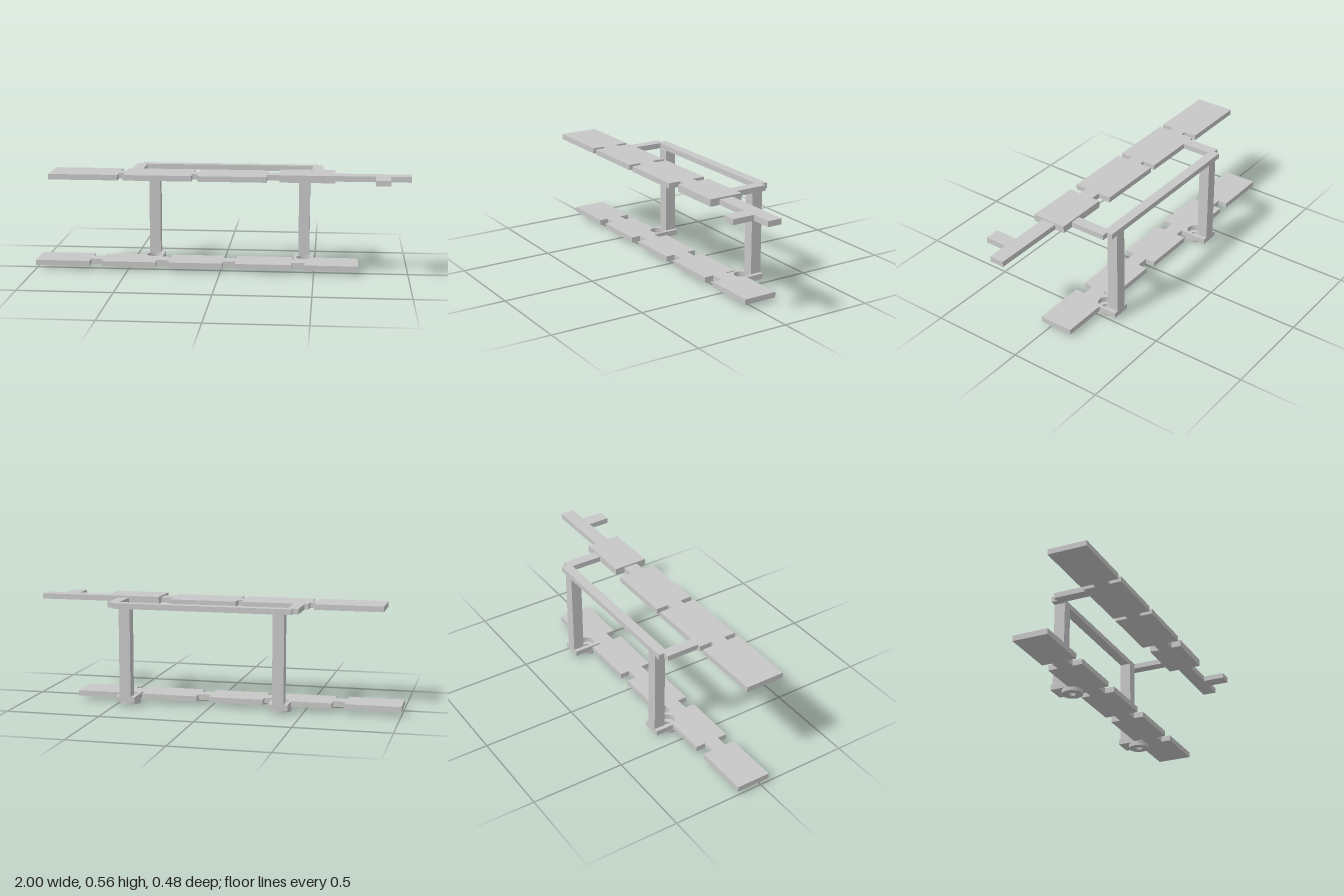
import * as THREE from 'three';

const grey = new THREE.MeshStandardMaterial({ color: 0xc7c7c7 });
grey.name = 'light grey metal';

// Flat plate from a clockwise outline of [x, z] corners, with round holes [x, z, radius]
function plate(name, outline, y0, y1, holes = []) {
  const shape = new THREE.Shape(outline.map(([x, z]) => new THREE.Vector2(x, -z)));
  for (const [x, z, r] of holes) {
    shape.holes.push(new THREE.Path().absarc(x, -z, r, 0, Math.PI * 2, false));
  }
  const geo = new THREE.ExtrudeGeometry(shape, { depth: y1 - y0, bevelEnabled: false, curveSegments: 20 });
  geo.rotateX(-Math.PI / 2).translate(0, y0, 0);
  const mesh = new THREE.Mesh(geo, grey);
  mesh.name = name;
  return mesh;
}

function box(name, x0, x1, y0, y1, z0, z1) {
  const geo = new THREE.BoxGeometry(x1 - x0, y1 - y0, z1 - z0);
  geo.translate((x0 + x1) / 2, (y0 + y1) / 2, (z0 + z1) / 2);
  const mesh = new THREE.Mesh(geo, grey);
  mesh.name = name;
  return mesh;
}

// Corners of steps [x0, x1, z] along an edge lying at z = edge
const edgeSteps = (edge, steps) =>
  steps.flatMap(([a, b, z]) => [[a, edge], [a, z], [b, z], [b, edge]]);

export function createModel() {
  const model = new THREE.Group();
  model.name = 'twoLevelBracket';
  const low = [0.021, 0.05], top = [0.518, 0.547];
  const postX = [-0.378, 0.442], washerZ = -0.14;

  // Lower strip: notched on both edges, with a foot pad reaching back under each post
  const back = -0.138, front = 0.047, cut = -0.086, pad = -0.238;
  const frontNotches = [[0.45, 0.38], [0.08, 0.012], [-0.278, -0.348], [-0.642, -0.706]]
    .map(([a, b]) => [a, b, -0.005]);
  model.add(plate('lowerStrip', [
    [-1, back],
    ...edgeSteps(back, [[-0.706, -0.642, cut]]),
    [-0.43, back], [-0.43, pad], [-0.326, pad], [-0.326, cut], [-0.278, cut], [-0.278, back],
    ...edgeSteps(back, [[0.012, 0.08, cut]]),
    [0.38, back], [0.38, cut], [0.39, cut], [0.39, pad], [0.494, pad], [0.494, back],
    [0.735, back], [0.735, front],
    ...edgeSteps(front, frontNotches),
    [-1, front],
  ], ...low, postX.map((x) => [x, washerZ, 0.04])));

  // Posts and the pierced washers below their pads
  for (const x of postX) {
    model.add(box('post', x - 0.03, x + 0.03, low[1], top[0], -0.238, -0.178));
    const profile = [[0.018, 0], [0.054, 0], [0.054, low[0]], [0.018, low[0]], [0.018, 0]];
    // Each wall is lathed separately to keep the rims sharp
    const washer = new THREE.Group();
    washer.name = 'washer';
    for (let i = 0; i < 4; i++) {
      const pts = [profile[i], profile[i + 1]].map(([r, y]) => new THREE.Vector2(r, y));
      washer.add(new THREE.Mesh(new THREE.LatheGeometry(pts, 40), grey));
      washer.children[i].name = 'washerWall';
    }
    washer.position.set(x, 0, washerZ);
    model.add(washer);
  }

  // Upper strip: three panels joined by narrow necks, and a tail with a short peg
  const n0 = 0.041, n1 = 0.119, u0 = -0.028, u1 = 0.185;
  model.add(plate('upperStrip', [
    [-0.888, u0],
    ...edgeSteps(u0, [[-0.524, -0.495, n0], [-0.137, -0.107, n0]]),
    [0.254, u0], [0.254, n0], [0.319, n0], [0.319, n1], [0.254, n1], [0.254, u1],
    ...edgeSteps(u1, [[-0.107, -0.137, n1], [-0.495, -0.524, n1]]),
    [-0.888, u1],
  ], ...top));
  model.add(box('raisedBlock', 0.319, 0.607, top[0], 0.556, -0.013, 0.173));
  model.add(plate('tailWithPeg', [
    [0.607, n0], [1, n0], [1, n1], [0.89, n1], [0.89, 0.238], [0.814, 0.238], [0.814, n1], [0.607, n1],
  ], ...top));

  // Rear frame tying the posts to the upper strip, with stepped corners
  model.add(plate('rearFrame', [
    [-0.476, u0], [-0.476, -0.207], [-0.444, -0.207], [-0.444, -0.238],
    [0.511, -0.238], [0.511, -0.207], [0.542, -0.207], [0.542, -0.013],
    [0.485, -0.013], [0.485, -0.185], [-0.417, -0.185], [-0.417, u0],
  ], ...top));

  return model;
}
